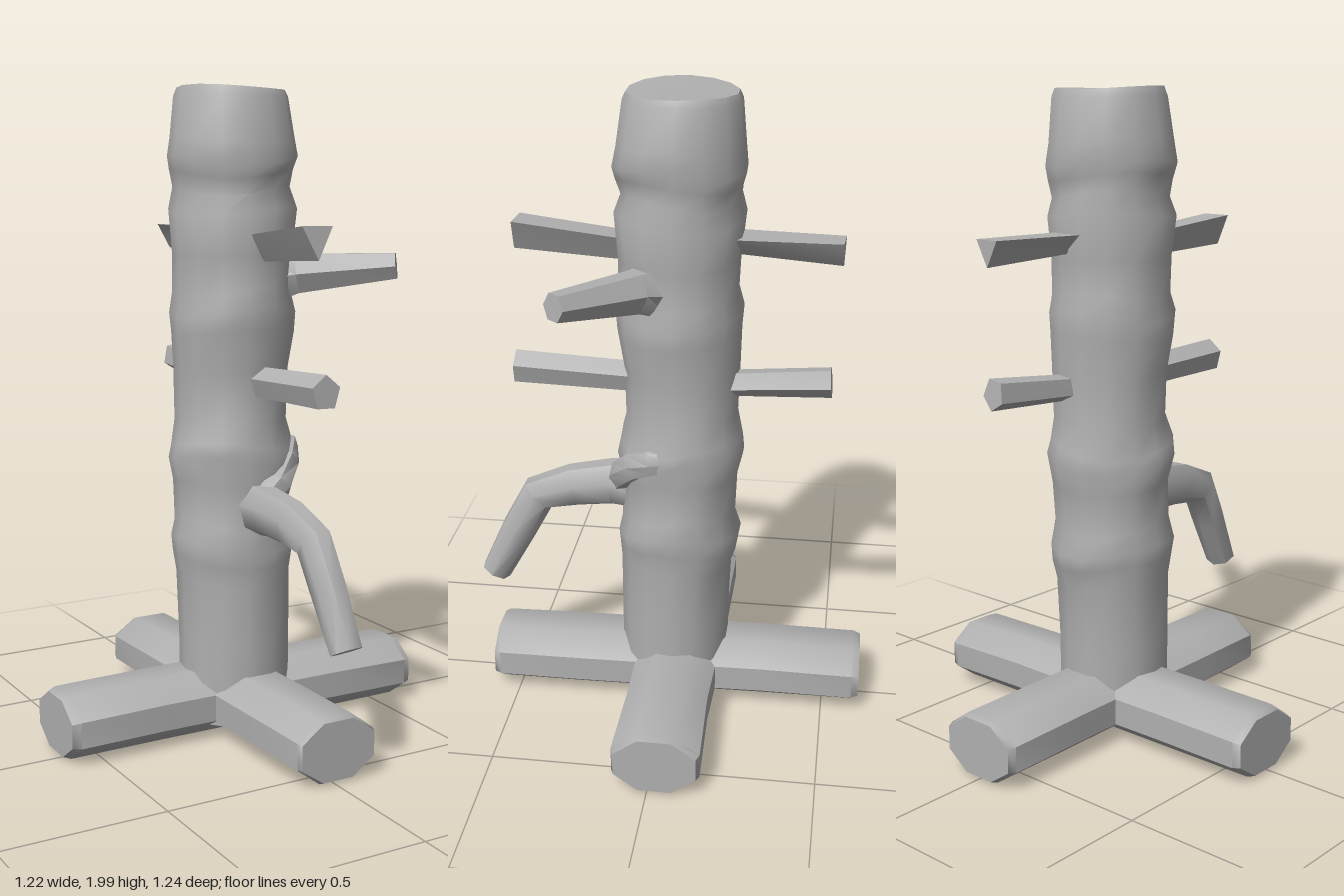
import * as THREE from 'three';
import { toCreasedNormals } from 'three/addons/utils/BufferGeometryUtils.js';

const grey = new THREE.MeshStandardMaterial({ color: 0xb0b0b0 });
grey.name = 'bare grey wood';

// Capped skin over rings of points; each ring runs counter-clockwise about the path.
function skin(rings, crease) {
  const n = rings[0].length, pos = [], idx = [];
  const add = (p) => pos.push(p.x, p.y, p.z);
  rings.forEach((r) => r.forEach(add));
  for (let i = 0; i < rings.length - 1; i++) {
    for (let k = 0; k < n; k++) {
      const a = i * n + k, b = i * n + (k + 1) % n;
      idx.push(a, b, b + n, a, b + n, a + n);
    }
  }
  const cap = (row, flip) => {
    const c = pos.length / 3;
    add(rings[row].reduce((s, p) => s.add(p), new THREE.Vector3()).divideScalar(n));
    for (let k = 0; k < n; k++) {
      const a = row * n + k, b = row * n + (k + 1) % n;
      idx.push(c, flip ? b : a, flip ? a : b);
    }
  };
  cap(0, true);
  cap(rings.length - 1, false);
  const g = new THREE.BufferGeometry();
  g.setAttribute('position', new THREE.Float32BufferAttribute(pos, 3));
  g.setIndex(idx);
  return toCreasedNormals(g, crease);
}

// Limb along stations [x, y, z, half width, half height] with a polygonal section.
function limb(name, stations, sides, phase = 0, crease = 0.9) {
  const centres = stations.map((s) => new THREE.Vector3(s[0], s[1], s[2]));
  const rings = stations.map((s, i) => {
    const t = centres[Math.min(i + 1, centres.length - 1)].clone()
      .sub(centres[Math.max(i - 1, 0)]).normalize();
    const right = new THREE.Vector3(0, 1, 0).cross(t).normalize();
    const up = t.clone().cross(right);
    return Array.from({ length: sides }, (_, k) => {
      const a = phase + k / sides * Math.PI * 2;
      return centres[i].clone().addScaledVector(right, Math.cos(a) * s[3])
        .addScaledVector(up, Math.sin(a) * s[4]);
    });
  });
  const mesh = new THREE.Mesh(skin(rings, crease), grey);
  mesh.name = name;
  return mesh;
}

// Trunk rows: height, radius, z centre, unevenness of the ridge height.
function trunk() {
  const rows = [
    [0.05, 0.172, -0.01, 0], [0.3, 0.174, -0.01, 0], [0.5, 0.178, -0.015, 0.01],
    [0.56, 0.188, -0.02, 0.015], [0.61, 0.196, -0.02, 0.02], [0.67, 0.18, -0.02, 0.02],
    [0.8, 0.182, -0.025, 0.01], [0.88, 0.199, -0.025, 0.02], [0.92, 0.192, -0.025, 0.02],
    [1.0, 0.174, -0.03, 0.01], [1.15, 0.178, -0.03, 0], [1.27, 0.19, -0.02, 0.01],
    [1.33, 0.195, -0.02, 0.015], [1.39, 0.182, -0.02, 0.015], [1.5, 0.184, -0.02, 0],
    [1.63, 0.197, -0.02, 0.012], [1.69, 0.179, -0.025, 0.015], [1.74, 0.189, -0.022, 0.015],
    [1.78, 0.199, -0.02, 0.015], [1.84, 0.19, -0.022, 0.01], [1.97, 0.174, -0.028, 0.003],
    [1.993, 0.164, -0.028, 0.004],
  ];
  const n = 14;
  const rings = rows.map(([y, r, z, wave], i) => Array.from({ length: n }, (_, k) => {
    const a = -k / n * Math.PI * 2;
    const rr = r * (1 + wave * 0.9 * Math.sin(3 * a + i * 1.7));
    return new THREE.Vector3(Math.cos(a) * rr, y + wave * Math.sin(2 * a + i * 0.4) -
      (i === rows.length - 1 ? 0.003 * Math.cos(a) : 0), z + Math.sin(a) * rr);
  }));
  const mesh = new THREE.Mesh(skin(rings, 0.9), grey);
  mesh.name = 'trunk';
  return mesh;
}

export function createModel() {
  const model = new THREE.Group();
  model.name = 'branched training post';
  model.add(trunk());

  // Crossed feet with chamfered octagonal sections
  const w = 0.145, h = 0.107, p8 = Math.PI / 8;
  model.add(limb('sideFoot', [
    [-0.61, 0.107, -0.023, w * 0.94, h * 0.88], [-0.585, 0.107, -0.023, w, h * 0.98],
    [-0.3, 0.109, -0.025, w * 0.98, h], [0, 0.109, -0.025, w, h],
    [0.3, 0.107, -0.022, w * 0.95, h], [0.585, 0.106, -0.024, w, h * 0.97],
    [0.61, 0.106, -0.024, w * 0.93, h * 0.9]], 8, p8));
  model.add(limb('frontBackFoot', [
    [-0.008, 0.108, -0.618, w * 0.93, h * 0.88], [-0.008, 0.108, -0.595, w, h * 0.97],
    [-0.006, 0.109, -0.3, w * 0.98, h], [0, 0.109, 0, w, h],
    [0.006, 0.109, 0.3, w, h], [0.01, 0.108, 0.56, w * 0.97, h * 0.98],
    [0.01, 0.108, 0.578, w * 0.92, h * 0.9]], 8, p8));

  // Short cut pegs, front and back
  const down = -Math.PI / 2;
  model.add(limb('upperFrontPeg',
    [[0.01, 1.53, 0.08, 0.05, 0.05], [-0.012, 1.563, 0.48, 0.056, 0.064]], 3, down, 0.5));
  model.add(limb('lowerFrontPeg',
    [[0.02, 1.115, 0.08, 0.05, 0.048], [0.015, 1.128, 0.488, 0.048, 0.053]], 5, 0.3, 0.5));
  model.add(limb('upperBackPeg',
    [[0.01, 1.558, -0.12, 0.07, 0.036], [0.035, 1.553, -0.505, 0.05, 0.052]], 3, down, 0.5));
  model.add(limb('lowerBackPeg',
    [[0.03, 1.11, -0.12, 0.045, 0.04], [0.04, 1.137, -0.485, 0.042, 0.05]], 5, 0.8, 0.5));

  // Diagonal branch, flared where it leaves the trunk
  model.add(limb('diagonalBranch', [
    [0.07, 1.42, 0.01, 0.09, 0.1], [0.17, 1.44, 0.09, 0.058, 0.068],
    [0.4, 1.466, 0.28, 0.043, 0.044]], 6));

  // Bent lower branch and the ridge climbing from its root
  model.add(limb('bentBranch', [
    [0, 0.73, 0.06, 0.08, 0.09], [0.0, 0.735, 0.2, 0.062, 0.078],
    [0.01, 0.72, 0.32, 0.058, 0.072], [0.015, 0.685, 0.435, 0.056, 0.062],
    [0.022, 0.56, 0.502, 0.054, 0.058], [0.03, 0.4, 0.583, 0.05, 0.049]], 7, down));
  model.add(limb('branchRidge', [
    [0.15, 0.9, -0.02, 0.03, 0.035], [0.165, 0.895, 0.04, 0.035, 0.045],
    [0.12, 0.86, 0.1, 0.045, 0.05], [0.06, 0.8, 0.145, 0.05, 0.05],
    [0, 0.75, 0.17, 0.04, 0.05]], 7));
  return model;
}
